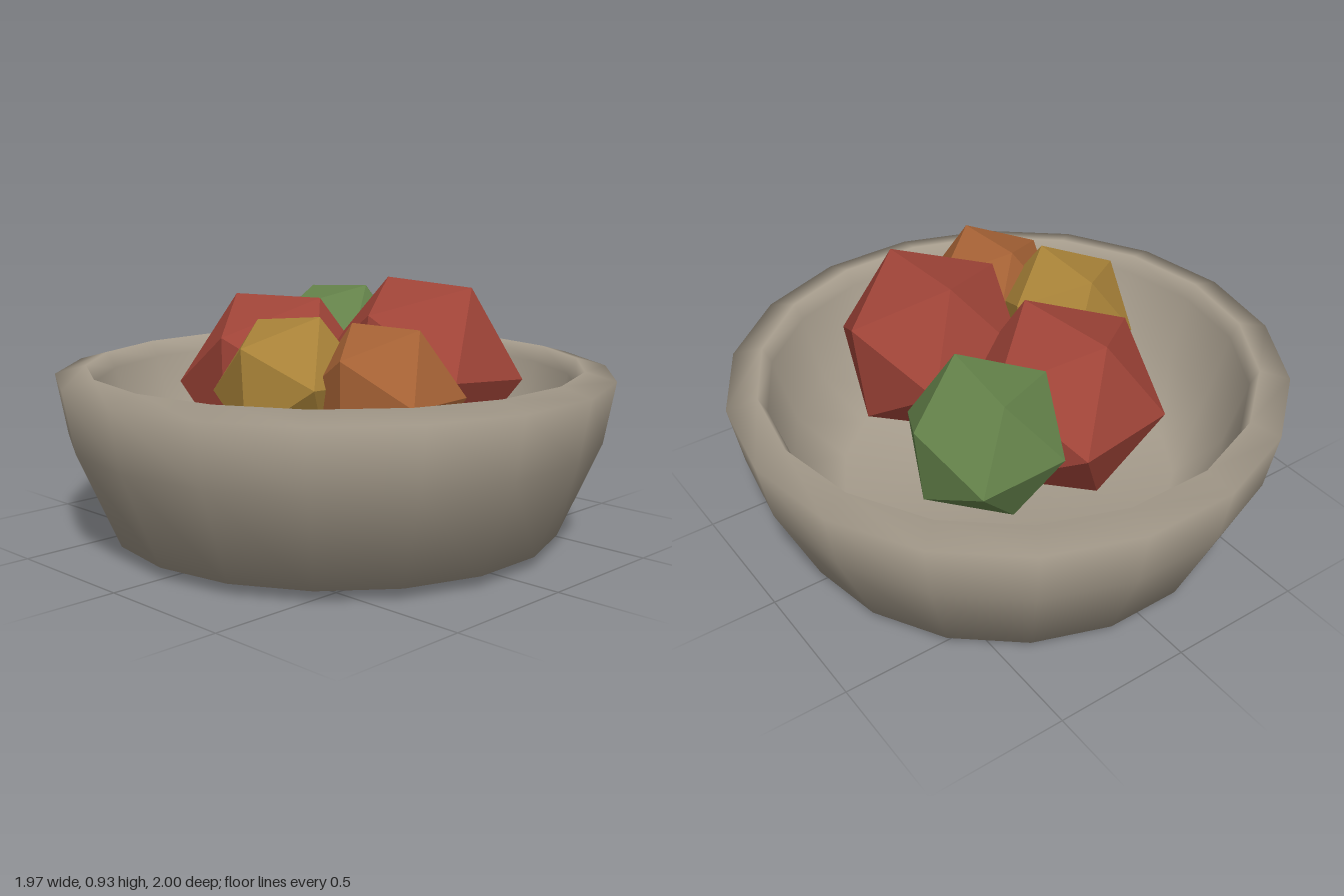
import * as THREE from 'three';

// Rotation that carries two neighbouring icosahedron corners onto directions a and b
function orient(mesh, a, b) {
  const va = new THREE.Vector3(...a).normalize();
  const vb = new THREE.Vector3(...b).normalize();
  const z = va.clone().add(vb).normalize();
  const y = va.clone().sub(vb).normalize();
  const x = y.clone().cross(z);
  mesh.quaternion.setFromRotationMatrix(new THREE.Matrix4().makeBasis(x, y, z));
}

export function createModel() {
  const model = new THREE.Group();
  model.name = 'fruitBowl';

  // Bowl: outer wall up from the shallow cone base, over the rim, down the inside
  const profile = [
    [0, 0], [0.813, 0.04], [0.96, 0.38], [1, 0.6],
    [0.89, 0.63], [0.86, 0.57], [0.79, 0.32], [0.62, 0.15], [0, 0.11],
  ].map(([r, y]) => new THREE.Vector2(r, y));
  const bowl = new THREE.Mesh(
    new THREE.LatheGeometry(profile, 18),
    new THREE.MeshStandardMaterial({ color: 0xa89e8e, side: THREE.DoubleSide })
  );
  bowl.name = 'bowl';
  model.add(bowl);

  // Fruit: faceted balls, each resting with one edge (from a to b) on top
  const fruits = [
    { name: 'largeRedFruit', color: 0xa04438, r: 0.36, at: [0.28, 0.62, -0.148], a: [-0.18, 0.315, -0.022], b: [0.195, 0.295, -0.032] },
    { name: 'redFruit', color: 0xa04438, r: 0.37, at: [-0.2, 0.545, 0.09], a: [-0.21, 0.3, 0.03], b: [0.2, 0.315, -0.03] },
    { name: 'greenFruit', color: 0x64824a, r: 0.295, at: [-0.295, 0.61, -0.305], a: [-0.17, 0.24, -0.04], b: [0.13, 0.25, -0.02] },
    { name: 'orangeFruit', color: 0xa66235, r: 0.265, at: [0.47, 0.6, 0.245], a: [-0.14, 0.22, 0.01], b: [0.14, 0.22, -0.01] },
    { name: 'yellowFruit', color: 0xa88238, r: 0.27, at: [0.165, 0.605, 0.372], a: [-0.16, 0.2, 0], b: [0.12, 0.25, -0.02] },
  ];
  for (const f of fruits) {
    const fruit = new THREE.Mesh(
      new THREE.IcosahedronGeometry(f.r, 0),
      new THREE.MeshStandardMaterial({ color: f.color, flatShading: true })
    );
    fruit.name = f.name;
    fruit.position.set(...f.at);
    orient(fruit, f.a, f.b);
    model.add(fruit);
  }
  return model;
}
